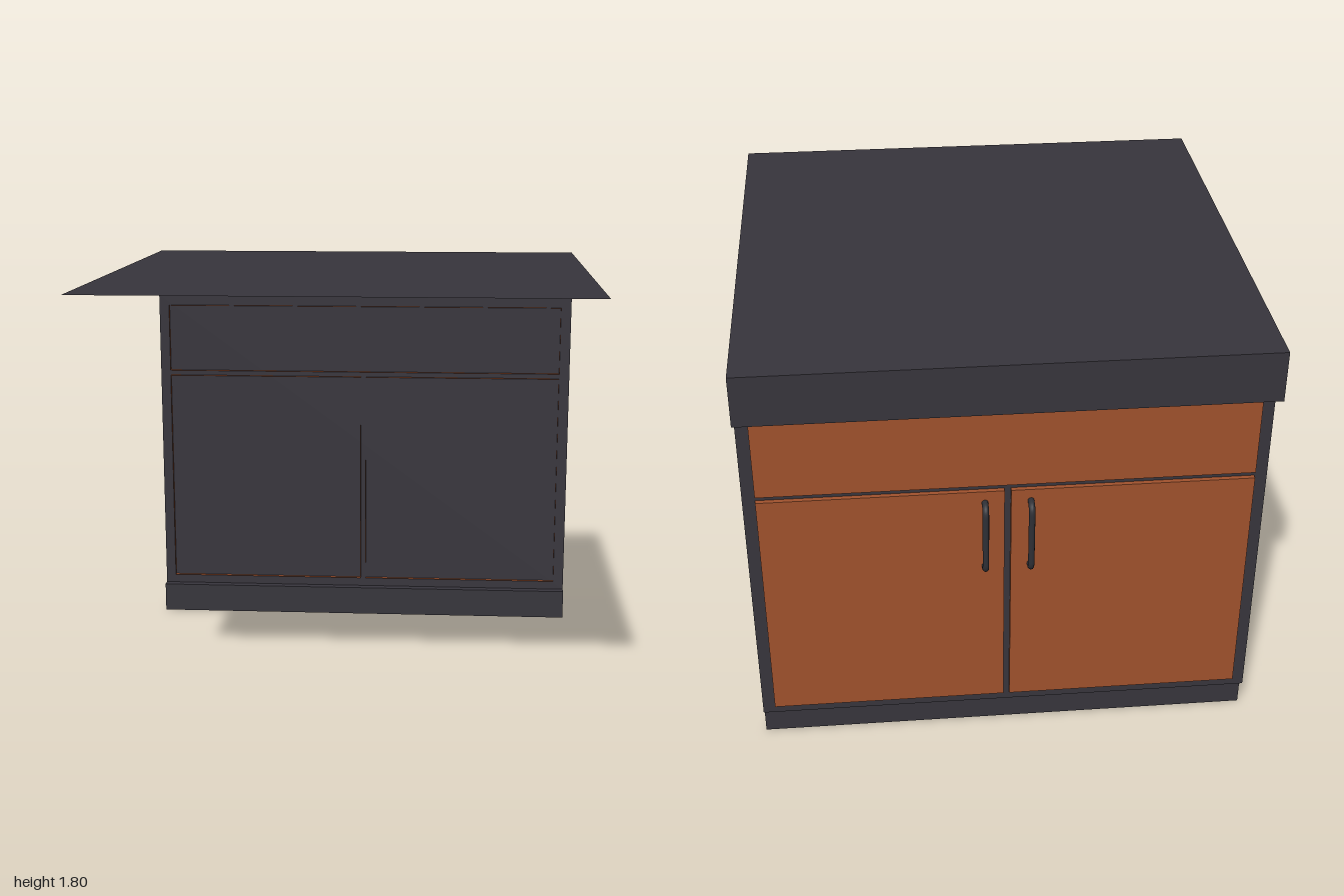
import * as THREE from 'three';

export function createModel() {
  const group = new THREE.Group();
  group.name = 'cabinet';
  const dark = new THREE.MeshStandardMaterial({ color: 0x37353c, side: THREE.DoubleSide });
  dark.name = 'charcoal';
  const wood = new THREE.MeshStandardMaterial({ color: 0xa0522d, side: THREE.DoubleSide });
  wood.name = 'brown wood';
  const metal = new THREE.MeshStandardMaterial({ color: 0x2f3036 });
  metal.name = 'dark metal';

  const add = (name, geometry, material) => {
    const mesh = new THREE.Mesh(geometry, material);
    mesh.name = name;
    group.add(mesh);
    return mesh;
  };

  // Flat sheet, full width, between two (y, z) edges
  const sheet = (name, [y0, z0], [y1, z1]) => {
    const g = new THREE.PlaneGeometry(2, Math.hypot(y1 - y0, z1 - z0));
    g.rotateX(Math.atan2(z1 - z0, y1 - y0));
    g.translate(0, (y0 + y1) / 2, (z0 + z1) / 2);
    add(name, g, dark);
  };
  const face = -0.895, kick = -0.853;
  sheet('countertop', [1.8, 1], [1.8, -1]);
  sheet('countertopEdge', [1.8, -1], [1.595, -1]);
  sheet('countertopUnderside', [1.595, -1], [1.595, face]);
  sheet('cabinetFace', [1.595, face], [0.135, face]);
  sheet('cabinetUnderside', [0.135, face], [0.135, kick]);
  sheet('toeKick', [0.135, kick], [0, kick]);

  // Wooden fronts: shallow boxes, open towards the inside (+z)
  const panel = (name, x0, x1, y0, y1) => {
    const g = new THREE.BoxGeometry(x1 - x0, y1 - y0, 0.038);
    const index = Array.from(g.index.array);
    index.splice(24, 6);
    g.setIndex(index);
    g.clearGroups();
    add(name, g, wood).position.set((x0 + x1) / 2, (y0 + y1) / 2, face);
  };
  panel('drawerFront', -0.95, 0.95, 1.225, 1.545);
  panel('leftDoor', 0.0125, 0.95, 0.18, 1.2);
  panel('rightDoor', -0.95, -0.0125, 0.18, 1.2);

  // Bent bar handles
  const v = (y, z) => new THREE.Vector3(0, y, z);
  const root = -0.91, out = -0.958, top = 1.15, low = 0.85, bend = 0.04;
  const path = new THREE.CurvePath();
  path.add(new THREE.LineCurve3(v(top, root), v(top, out + bend)));
  path.add(new THREE.QuadraticBezierCurve3(v(top, out + bend), v(top, out), v(top - bend, out)));
  path.add(new THREE.LineCurve3(v(top - bend, out), v(low + bend, out)));
  path.add(new THREE.QuadraticBezierCurve3(v(low + bend, out), v(low, out), v(low, out + bend)));
  path.add(new THREE.LineCurve3(v(low, out + bend), v(low, root)));
  const bar = new THREE.TubeGeometry(path, 64, 0.0125, 12);
  add('leftHandle', bar, metal).position.x = 0.088;
  add('rightHandle', bar, metal).position.x = -0.088;

  return group;
}
